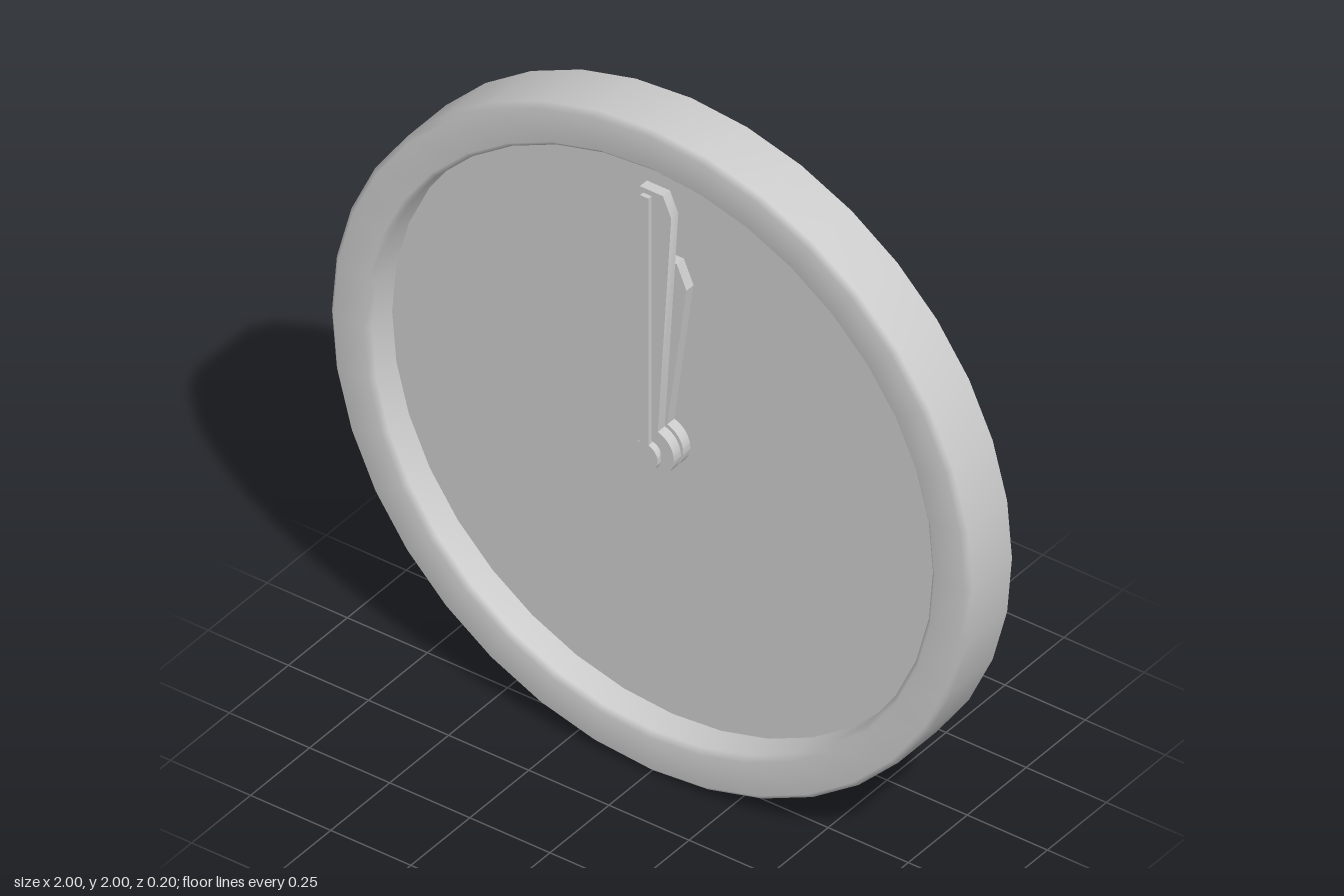
import * as THREE from 'three';
import { toCreasedNormals } from 'three/addons/utils/BufferGeometryUtils.js';

const SIDES = 36;
const material = new THREE.MeshStandardMaterial({ color: 0xcccccc });

function addMesh(parent, name, geometry) {
  const mesh = new THREE.Mesh(geometry, material);
  mesh.name = name;
  parent.add(mesh);
  return mesh;
}

// Flat hand: a round hub joined to a blade given by its right-side [x, y] points
function handGeometry(hubRadius, side, back, front) {
  const [x0] = side[0];
  const start = Math.acos(x0 / hubRadius);
  const shape = new THREE.Shape();
  shape.absarc(0, 0, hubRadius, Math.PI - start, start + Math.PI * 2, false);
  for (const [x, y] of side.slice(1)) shape.lineTo(x, y);
  for (const [x, y] of side.slice(1).reverse()) shape.lineTo(-x, y);
  shape.closePath();
  const geometry = new THREE.ExtrudeGeometry(shape, {
    depth: front - back, bevelEnabled: false, curveSegments: 24,
  });
  geometry.translate(0, 0, back);
  return toCreasedNormals(geometry, 0.5);
}

export function createModel() {
  const clock = new THREE.Group();
  clock.name = 'wallClock';
  const dial = new THREE.Group();
  dial.position.y = 1;
  clock.add(dial);

  // Rim: outer wall, softened front and inner wall down to the face
  const profile = [
    [1, -0.1], [1, 0.065], [0.985, 0.08], [0.89, 0.08], [0.875, 0.065], [0.875, -0.02],
  ].map(([r, z]) => new THREE.Vector2(r, z));
  addMesh(dial, 'rim', new THREE.LatheGeometry(profile, SIDES).rotateX(Math.PI / 2));

  // Recessed face and flat back
  addMesh(dial, 'face', new THREE.CircleGeometry(0.875, SIDES)).position.z = -0.02;
  const back = addMesh(dial, 'backPanel', new THREE.CircleGeometry(1, SIDES));
  back.rotation.y = Math.PI;
  back.position.z = -0.1;

  // Hands, stacked from the face outward
  addMesh(dial, 'hourHand',
    handGeometry(0.07, [[0.02, 0.067], [0.08, 0.51], [0.05, 0.58]], 0, 0.03));
  addMesh(dial, 'minuteHand',
    handGeometry(0.07, [[0.02, 0.067], [0.062, 0.75], [0.036, 0.81]], 0.04, 0.07));
  addMesh(dial, 'secondHand',
    handGeometry(0.042, [[0.013, 0.04], [0.013, 0.81]], 0.087, 0.1));

  // Post carrying the hands
  const post = addMesh(dial, 'handPost', new THREE.CylinderGeometry(0.03, 0.03, 0.11, 24));
  post.rotation.x = Math.PI / 2;
  post.position.z = 0.035;

  return clock;
}
